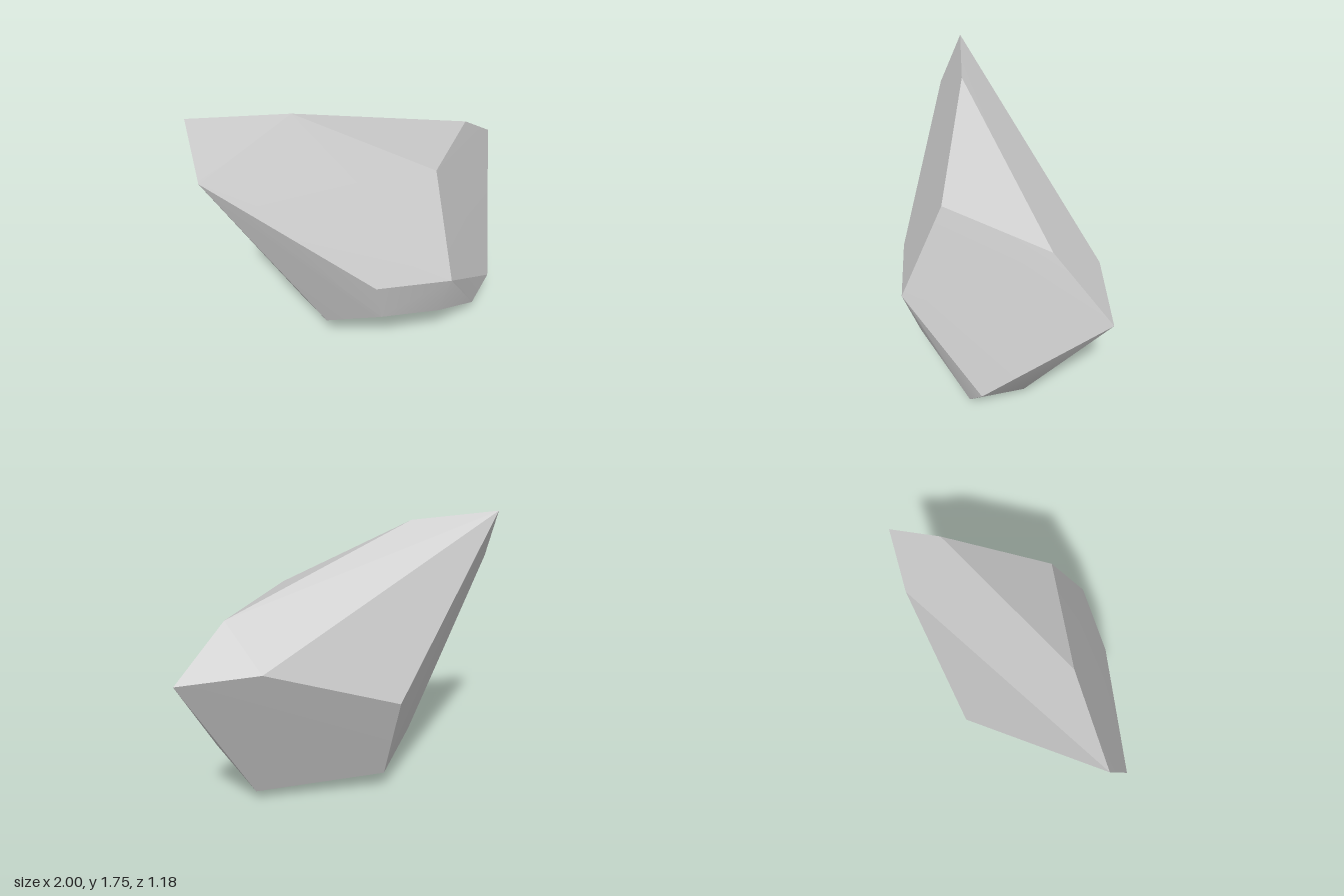
import * as THREE from 'three';
import { ConvexGeometry } from 'three/addons/geometries/ConvexGeometry.js';
import { toCreasedNormals } from 'three/addons/utils/BufferGeometryUtils.js';

// Corners of the faceted boulder, ring by ring
const crown = [[-1, 1.75, 0.22], [-0.44, 1.71, 0.2], [0.355, 1.315, 0.31], [0.72, 1.265, -0.29]];
const girdle = [
  [-0.97, 1.43, 0.36], [-0.05, 0.73, 0.59], [0.41, 0.7, 0.57],
  [1, 1, -0.595], [0.52, 1.035, -0.575], [-0.29, 0.735, -0.39],
];
const lower = [
  [-0.44, 0.33, 0.095], [-0.3, 0.22, 0.256], [0, 0.43, 0.51],
  [0.37, 0.385, 0.475], [0.71, 0.12, 0.17], [0.83, 0.28, 0.095],
];
const foot = [[-0.24, 0.135, -0.14], [-0.13, 0.085, 0.103], [0.52, 0, 0.025], [0.587, 0.07, -0.165]];

export function createModel() {
  const group = new THREE.Group();
  group.name = 'boulder';
  const corners = [...crown, ...girdle, ...lower, ...foot].map((p) => new THREE.Vector3(...p));

  // Sharp main edges, softened shallow ones
  const geometry = toCreasedNormals(new ConvexGeometry(corners), 0.5);
  const rock = new THREE.Mesh(geometry, new THREE.MeshStandardMaterial({ color: 0xcccccc }));
  rock.name = 'rock';
  group.add(rock);
  return group;
}
